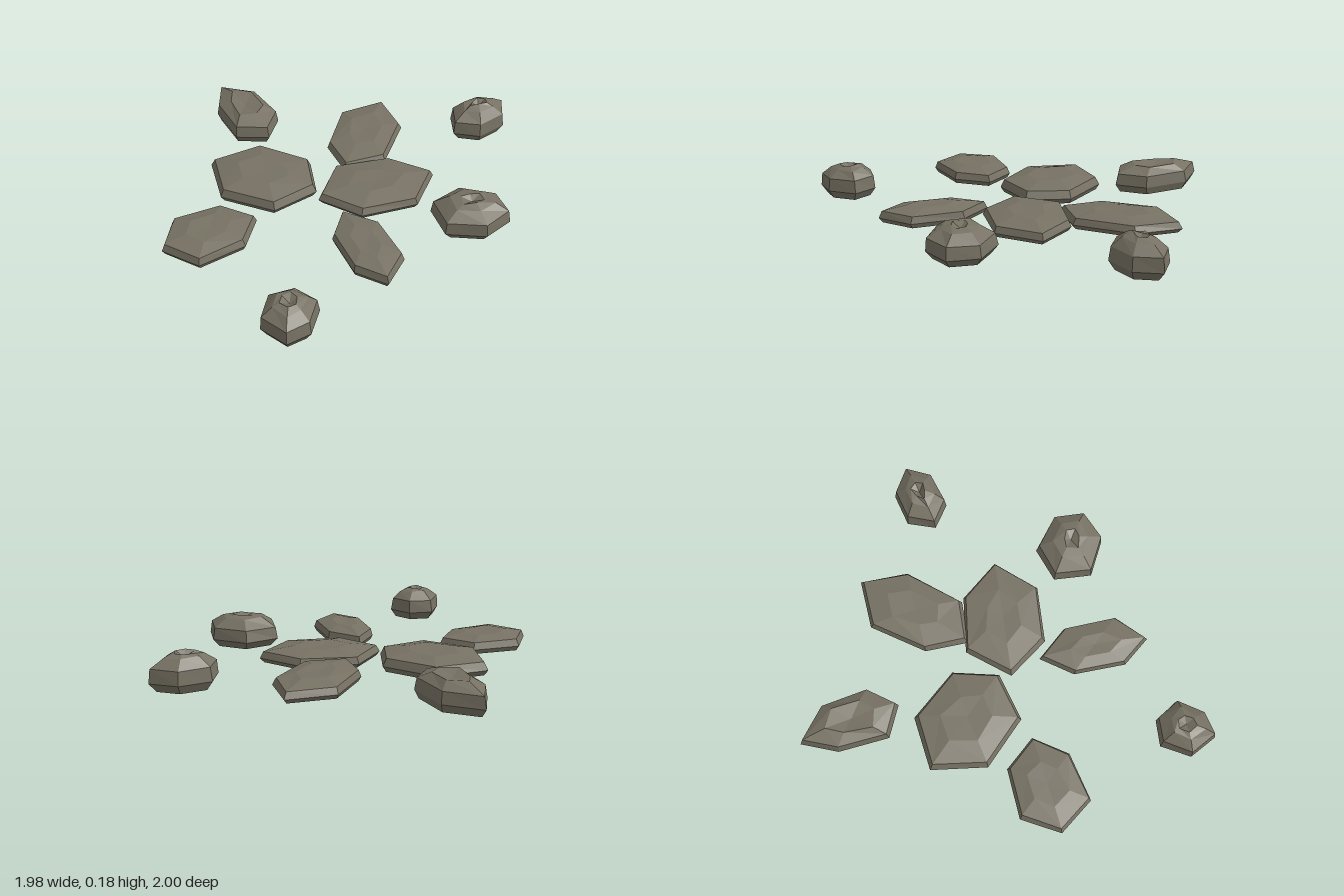
import * as THREE from 'three';

// Profiles from the ground up: [outline scale, height fraction, wobble]; the last entry is the middle point.
const SLAB = [[0.93, 0, 0], [1, 0.3, 0], [0.93, 0.74, 0.015], [0.45, 0.98, 0.06], [0, 0.93, 0]];
const THICK = [[0.88, 0, 0], [1, 0.3, 0], [0.93, 0.72, 0.02], [0.55, 0.96, 0.07], [0, 0.85, 0]];
const PEBBLE = [[0.79, 0, 0], [1, 0.25, 0], [0.94, 0.63, 0.03], [0.58, 0.88, 0.06], [0.26, 0.97, 0.08], [0, 0.82, 0]];

// Six-cornered outlines (x, z), clockwise from above.
const STONES = [
  ['backStone', THICK, 0.135, [-0.41, -1, -0.24, -0.89, -0.18, -0.65, -0.27, -0.51, -0.43, -0.57, -0.47, -0.82]],
  ['backSlab', SLAB, 0.075, [0.16, -0.61, 0.41, -0.64, 0.43, -0.4, 0.24, -0.14, 0.02, -0.13, 0, -0.35]],
  ['innerSlab', SLAB, 0.092, [-0.61, -0.39, -0.34, -0.44, -0.13, -0.23, -0.17, 0, -0.41, 0.08, -0.63, -0.11]],
  ['outerSlab', SLAB, 0.08, [-0.9, 0.01, -0.65, -0.02, -0.51, 0.12, -0.61, 0.29, -0.85, 0.36, -0.99, 0.2]],
  ['centreSlab', SLAB, 0.075, [-0.03, -0.15, 0.26, -0.13, 0.43, 0.05, 0.27, 0.25, -0.02, 0.25, -0.18, 0.06]],
  ['frontSlab', SLAB, 0.078, [-0.11, 0.21, 0.03, 0.35, 0.06, 0.62, -0.07, 0.76, -0.19, 0.63, -0.21, 0.37]],
  ['leftFrontPebble', PEBBLE, 0.162, [0.3, 0.34, 0.47, 0.27, 0.63, 0.38, 0.63, 0.54, 0.48, 0.61, 0.3, 0.53]],
  ['leftPebble', PEBBLE, 0.175, [0.7, -0.37, 0.86, -0.42, 0.99, -0.35, 0.94, -0.22, 0.78, -0.16, 0.66, -0.23]],
  ['rightFrontPebble', PEBBLE, 0.168, [-0.63, 0.73, -0.5, 0.73, -0.42, 0.84, -0.5, 0.97, -0.62, 1, -0.7, 0.87]],
];

// Small seeded generator giving -1..1
function seeded(seed) {
  let s = seed * 7919 + 13;
  return () => {
    s = (s * 16807) % 2147483647;
    return (s / 2147483647) * 2 - 1;
  };
}

// Stack scaled copies of the outline and close them with a fan above and below.
function stoneGeometry(profile, height, outline, seed) {
  const rand = seeded(seed);
  const n = outline.length / 2;
  let cx = 0, cz = 0;
  for (let i = 0; i < n; i++) {
    cx += outline[2 * i] / n;
    cz += outline[2 * i + 1] / n;
  }
  const positions = [], index = [];
  const rings = profile.slice(0, -1);
  for (const [scale, level, wobble] of rings) {
    for (let i = 0; i < n; i++) {
      const s = scale + rand() * wobble;
      const y = height * (level + rand() * wobble * 0.6);
      positions.push(cx + (outline[2 * i] - cx) * s, y, cz + (outline[2 * i + 1] - cz) * s);
    }
  }
  const topCentre = rings.length * n, baseCentre = topCentre + 1;
  positions.push(cx, height * profile[profile.length - 1][1], cz, cx, 0, cz);
  const last = (rings.length - 1) * n;
  for (let i = 0; i < n; i++) {
    const j = (i + 1) % n;
    for (let r = 0; r < last; r += n) {
      index.push(r + i, r + n + i, r + n + j, r + i, r + n + j, r + j);
    }
    index.push(topCentre, last + j, last + i, baseCentre, i, j);
  }
  const geometry = new THREE.BufferGeometry();
  geometry.setAttribute('position', new THREE.Float32BufferAttribute(positions, 3));
  geometry.setIndex(index);
  const faceted = geometry.toNonIndexed();
  faceted.computeVertexNormals();
  return faceted;
}

export function createModel() {
  const group = new THREE.Group();
  group.name = 'steppingStones';
  const stone = new THREE.MeshStandardMaterial({ color: 0x767163 });
  stone.name = 'stone grey';
  stone.flatShading = true;
  STONES.forEach(([name, profile, height, outline], k) => {
    const mesh = new THREE.Mesh(stoneGeometry(profile, height, outline, k + 1), stone);
    mesh.name = name;
    group.add(mesh);
  });
  return group;
}
